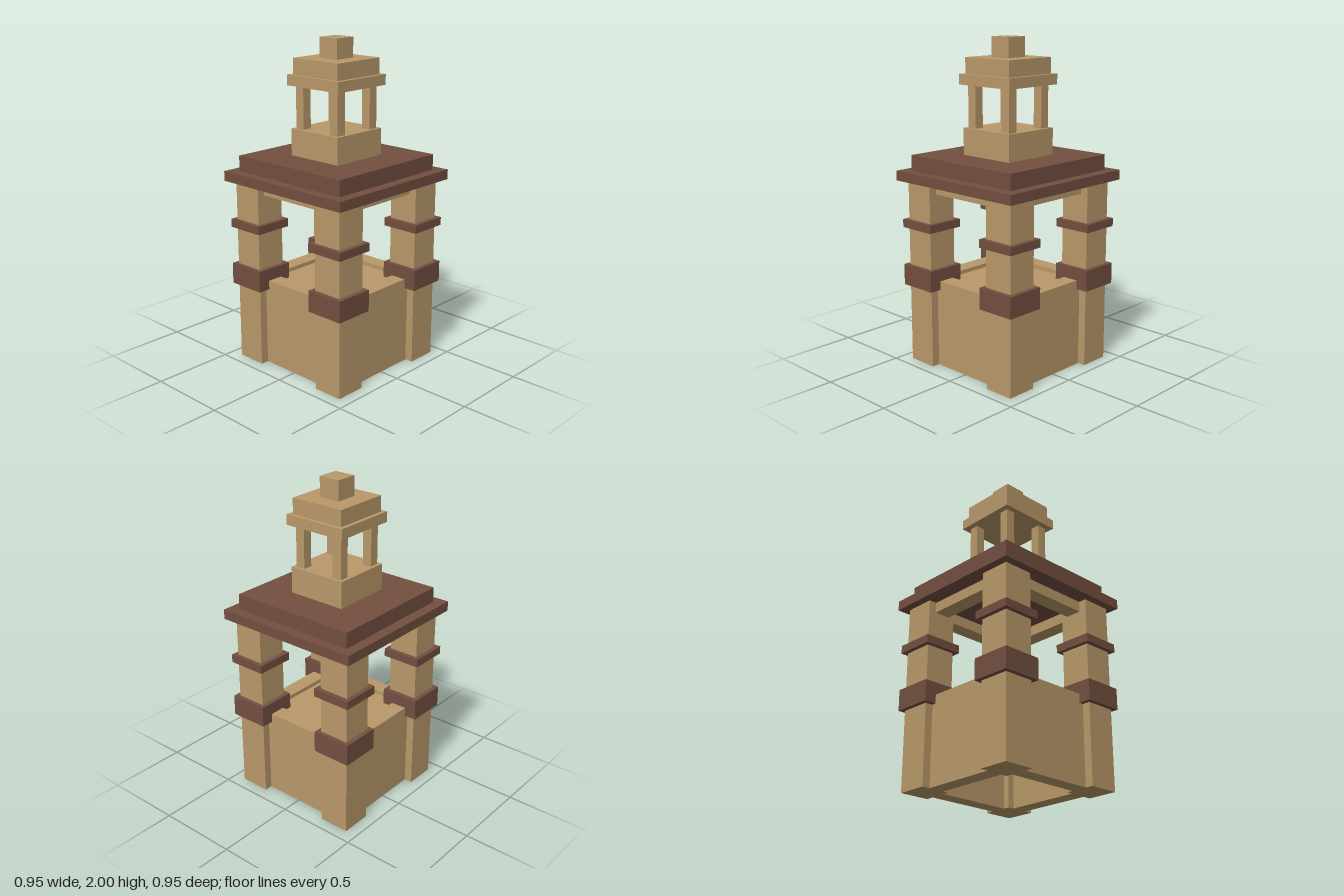
import * as THREE from 'three';

export function createModel() {
  const model = new THREE.Group();
  model.name = 'bellTower';

  const sandstone = new THREE.MeshStandardMaterial({ color: 0xb9996a });
  sandstone.name = 'sandstone';
  const brownTrim = new THREE.MeshStandardMaterial({ color: 0x734f40 });
  brownTrim.name = 'brown trim';

  // Box spanning y0..y1, centred on (x, z)
  function block(name, material, width, depth, y0, y1, x = 0, z = 0) {
    const mesh = new THREE.Mesh(new THREE.BoxGeometry(width, y1 - y0, depth), material);
    mesh.position.set(x, (y0 + y1) / 2, z);
    mesh.name = name;
    model.add(mesh);
  }

  // Corner pillars with their collars, and the small lantern columns above
  for (const sx of [-1, 1]) {
    for (const sz of [-1, 1]) {
      const x = sx * 0.33, z = sz * 0.33;
      block('cornerPillar', sandstone, 0.19, 0.19, 0, 1.145, x, z);
      block('lowerCollar', brownTrim, 0.244, 0.244, 0.49, 0.62, x, z);
      block('upperCollar', brownTrim, 0.244, 0.244, 0.855, 0.905, x, z);
      block('lanternColumn', sandstone, 0.06, 0.06, 1.46, 1.72, sx * 0.137, sz * 0.137);
    }
  }

  // Walls and lintels run between the pillars, set back from their faces
  const span = 0.47, thickness = 0.1, offset = 0.325;
  for (const s of [-1, 1]) {
    for (const [name, y0, y1] of [['wall', 0, 0.545], ['lintel', 1.08, 1.145]]) {
      block(name, sandstone, span, thickness, y0, y1, 0, s * offset);
      block(name, sandstone, thickness, span, y0, y1, s * offset, 0);
    }
  }

  // Floor of the open storey, just below the wall tops
  block('floor', sandstone, 0.55, 0.55, 0.47, 0.52);

  // Stepped roof
  block('roofEave', brownTrim, 0.95, 0.95, 1.145, 1.205);
  block('roofStep', brownTrim, 0.82, 0.82, 1.205, 1.3);

  // Lantern
  block('lanternBase', sandstone, 0.376, 0.376, 1.3, 1.463);
  block('lanternEave', sandstone, 0.408, 0.408, 1.72, 1.783);
  block('lanternRoof', sandstone, 0.356, 0.356, 1.783, 1.88);
  block('finial', sandstone, 0.138, 0.138, 1.88, 2);

  return model;
}
